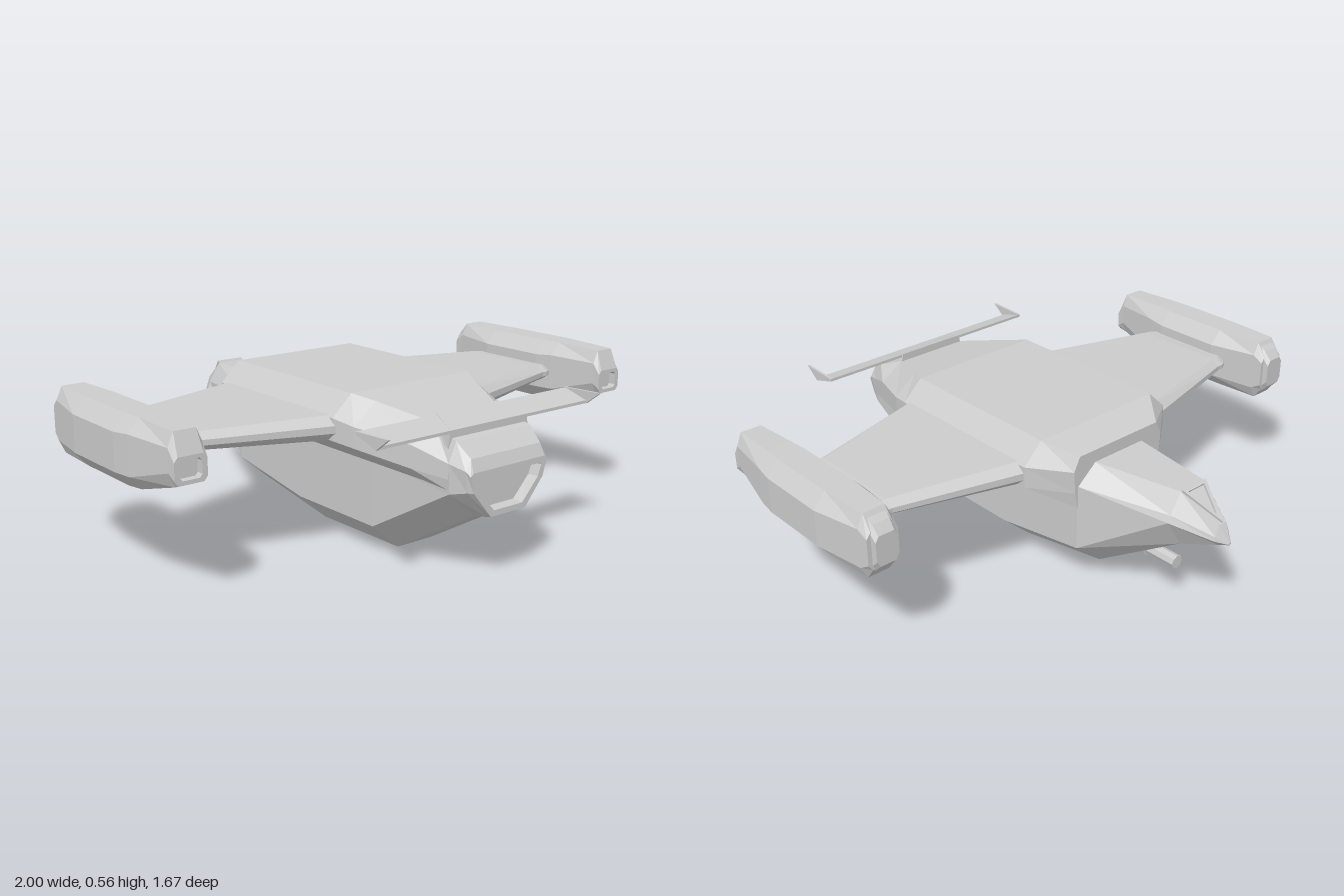
import * as THREE from 'three';

const material = new THREE.MeshStandardMaterial({ color: 0xcccccc, flatShading: true, side: THREE.DoubleSide });

// Skin a row of equal-length closed rings and cap both ends.
function loft(rings) {
  const pos = [];
  const n = rings[0].length;
  const tri = (...pts) => pts.forEach((p) => pos.push(...p));
  for (let i = 0; i < rings.length - 1; i++) {
    for (let j = 0; j < n; j++) {
      const k = (j + 1) % n;
      const a = rings[i][j], b = rings[i][k], c = rings[i + 1][k], d = rings[i + 1][j];
      tri(a, b, c);
      tri(a, c, d);
    }
  }
  const cap = (ring, flip) => {
    const mid = [0, 1, 2].map((c) => ring.reduce((s, p) => s + p[c], 0) / n);
    ring.forEach((p, j) => {
      const q = ring[(j + 1) % n];
      if (flip) tri(mid, q, p);
      else tri(mid, p, q);
    });
  };
  cap(rings[0], true);
  cap(rings[rings.length - 1], false);
  const geo = new THREE.BufferGeometry();
  geo.setAttribute('position', new THREE.Float32BufferAttribute(pos, 3));
  geo.computeVertexNormals();
  return geo;
}

// Full ring from a right-hand half profile listed bottom to top.
const section = (z, half, dx = 0) => [
  ...half.map(([x, y]) => [dx + x, y, z]),
  ...half.slice().reverse().map(([x, y]) => [dx - x, y, z]),
];

// Same rings on the other side, with winding kept outward.
const mirrored = (rings) => rings.map((r) => r.map(([x, y, z]) => [-x, y, z]).reverse());

// Chamfered rectangle across z, used by the pods.
const octagon = (z, x0, x1, y0, y1, cx = 0.035, cy = 0.045) => [
  [x0 + cx, y0, z], [x1 - cx, y0, z], [x1, y0 + cy, z], [x1, y1 - cy, z],
  [x1 - cx, y1, z], [x0 + cx, y1, z], [x0, y1 - cy, z], [x0, y0 + cy, z],
];

// Flat wing section at one x, with chamfered leading and trailing edges.
const wingSection = (x, z0, z1, y0, y1, c = 0.035) => {
  const m = (y0 + y1) / 2, e = (y1 - y0) * 0.15;
  return [
    [x, y0, z0 + c], [x, m - e, z0], [x, m + e, z0], [x, y1, z0 + c],
    [x, y1, z1 - c], [x, m + e, z1], [x, m - e, z1], [x, y0, z1 - c],
  ];
};

export function createModel() {
  const model = new THREE.Group();
  const add = (name, geo) => {
    const mesh = new THREE.Mesh(geo, material);
    mesh.name = name;
    model.add(mesh);
    return mesh;
  };
  const addPair = (name, rings) => {
    add('left' + name, loft(rings));
    add('right' + name, loft(mirrored(rings)));
  };

  // Keel, pointed nose and recessed exhaust
  add('hull', loft([
    section(-0.835, [[0.002, 0.308], [0.006, 0.311], [0.005, 0.314], [0.002, 0.317]], -0.024),
    section(-0.8, [[0.014, 0.298], [0.036, 0.32], [0.032, 0.335], [0.018, 0.372]], -0.024),
    section(-0.67, [[0.045, 0.255], [0.11, 0.36], [0.1, 0.385], [0.055, 0.455]], -0.022),
    section(-0.36, [[0.075, 0.065], [0.187, 0.16], [0.187, 0.4], [0.11, 0.465]]),
    section(0.01, [[0.075, 0], [0.187, 0.1], [0.187, 0.33], [0.1, 0.42]]),
    section(0.41, [[0.075, 0.003], [0.187, 0.1], [0.187, 0.33], [0.1, 0.42]]),
    section(0.765, [[0.075, 0.21], [0.185, 0.302], [0.19, 0.4], [0.16, 0.465]]),
    section(0.82, [[0.075, 0.222], [0.162, 0.315], [0.172, 0.385], [0.15, 0.42]]),
    section(0.837, [[0.075, 0.226], [0.15, 0.315], [0.165, 0.37], [0.155, 0.38]]),
    section(0.837, [[0.062, 0.245], [0.128, 0.317], [0.142, 0.355], [0.135, 0.36]]),
    section(0.8, [[0.06, 0.248], [0.125, 0.317], [0.138, 0.353], [0.13, 0.357]]),
  ]));

  // Broad upper deck
  add('upperBody', loft([
    section(-0.363, [[0.187, 0.32], [0.2, 0.38], [0.205, 0.46], [0.18, 0.51]]),
    section(-0.26, [[0.187, 0.32], [0.33, 0.41], [0.33, 0.485], [0.255, 0.556]]),
    section(0.38, [[0.187, 0.32], [0.33, 0.41], [0.33, 0.485], [0.255, 0.556]]),
    section(0.46, [[0.187, 0.32], [0.31, 0.4], [0.31, 0.47], [0.22, 0.54]]),
    section(0.65, [[0.187, 0.32], [0.235, 0.365], [0.235, 0.44], [0.145, 0.497]]),
    section(0.765, [[0.183, 0.312], [0.19, 0.35], [0.19, 0.4], [0.16, 0.465]]),
  ]));

  // Wings, with a narrowed joint at the pods
  addPair('Wing', [
    wingSection(0.26, -0.275, 0.41, 0.405, 0.492),
    wingSection(0.77, -0.145, 0.265, 0.425, 0.483, 0.03),
    wingSection(0.795, -0.145, 0.265, 0.428, 0.48, 0.03),
    wingSection(0.85, -0.11, 0.23, 0.43, 0.477, 0.03),
  ]);

  // Wingtip pods: rounded back, sloped and recessed front
  addPair('Pod', [
    octagon(-0.285, 0.85, 0.962, 0.385, 0.515, 0.015, 0.02),
    octagon(-0.25, 0.845, 0.968, 0.34, 0.565, 0.022),
    octagon(-0.07, 0.81, 1, 0.34, 0.565, 0.045, 0.05),
    octagon(0.19, 0.81, 1, 0.34, 0.565, 0.045, 0.05),
    octagon(0.26, 0.82, 0.99, 0.345, 0.565, 0.04),
    octagon(0.44, 0.848, 0.963, 0.395, 0.56, 0.02),
    octagon(0.468, 0.85, 0.96, 0.405, 0.49, 0.012, 0.015),
    octagon(0.468, 0.868, 0.942, 0.418, 0.478, 0.008, 0.01),
    octagon(0.442, 0.868, 0.942, 0.418, 0.478, 0.008, 0.01),
  ]);
  addPair('PodEndPlate', [
    octagon(-0.305, 0.865, 0.945, 0.4, 0.505, 0.012, 0.02),
    octagon(-0.28, 0.862, 0.948, 0.375, 0.535, 0.012, 0.02),
    octagon(-0.245, 0.86, 0.95, 0.35, 0.562, 0.012, 0.02),
  ]);

  // Tail plane with a saddle and triangular tip fins
  const plane = (x) => [[x, 0.512, 0.652], [x, 0.522, 0.652], [x, 0.495, 0.745], [x, 0.485, 0.745]];
  add('tailPlane', loft([plane(-0.457), plane(0.457)]));
  add('tailPlaneSaddle', loft([
    section(0.648, [[0.15, 0.46], [0.135, 0.525]]),
    section(0.745, [[0.175, 0.44], [0.165, 0.495]]),
  ]));
  const fin = (x) => [[x, 0.485, 0.745], [x, 0.523, 0.65], [x, 0.528, 0.8]];
  addPair('TailFin', [fin(0.45), fin(0.459)]);

  // Raised triangular window frame on the nose
  const frame = new THREE.Shape([[-0.055, 0], [0.055, 0], [0, 0.15]].map((p) => new THREE.Vector2(...p)));
  frame.holes.push(new THREE.Path([[-0.038, 0.012], [0, 0.118], [0.038, 0.012]].map((p) => new THREE.Vector2(...p))));
  const windowFrame = add('windowFrame', new THREE.ExtrudeGeometry(frame, { depth: 0.012, bevelEnabled: false }));
  windowFrame.position.set(-0.023, 0.452, -0.67);
  windowFrame.rotation.x = -2.15;

  // Chin gun
  const gun = (name, r, length, z) => {
    const mesh = add(name, new THREE.CylinderGeometry(r, r, length, 8));
    mesh.rotation.x = Math.PI / 2;
    mesh.position.set(0, 0.16, z);
  };
  gun('gunBarrel', 0.024, 0.3, -0.495);
  gun('gunSleeve', 0.03, 0.2, -0.42);

  return model;
}
